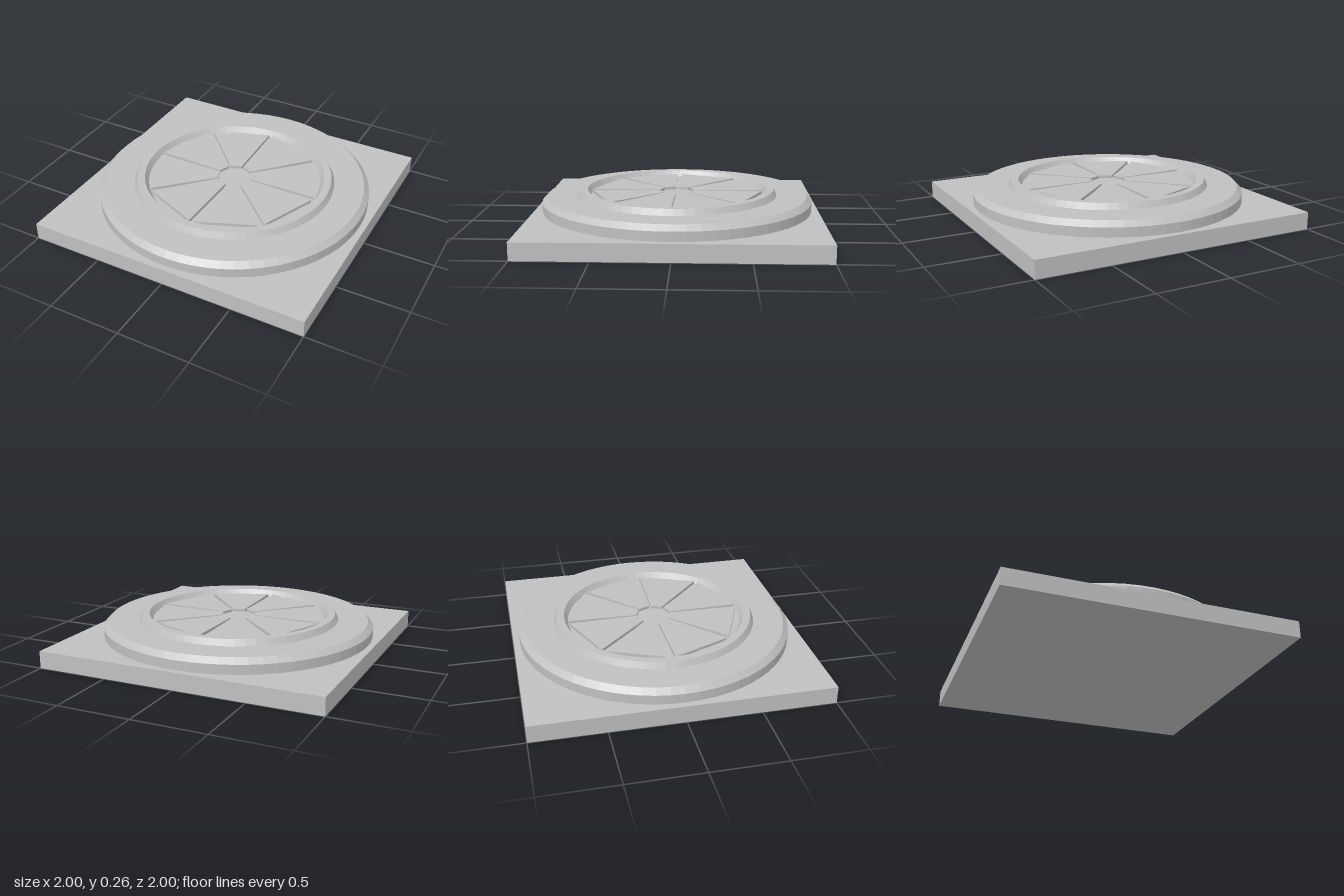
import * as THREE from 'three';

export function createModel() {
  const model = new THREE.Group();
  const grey = new THREE.MeshStandardMaterial({ color: 0xc0c0c0, flatShading: true });
  grey.name = 'light grey';

  const add = (name, geometry, y = 0) => {
    const mesh = new THREE.Mesh(geometry, grey);
    mesh.name = name;
    mesh.position.y = y;
    model.add(mesh);
    return mesh;
  };
  const lathe = (points) =>
    new THREE.LatheGeometry(points.map(([r, y]) => new THREE.Vector2(r, y)), 64);

  // Square base slab
  add('base', new THREE.BoxGeometry(2, 0.12, 2), 0.06);

  // Round plate with a bevelled rim
  add('disc', lathe([[0.957, 0.12], [0.957, 0.185], [0.92, 0.222], [0, 0.222]]));

  // Raised collar, sloped on both sides
  add('collar', lathe([[0.71, 0.222], [0.688, 0.264], [0.636, 0.264], [0.61, 0.222]]));

  // Eight raised wedge panels separated by tapering grooves
  const wedge = new THREE.Shape();
  const corner = (r, angle) => new THREE.Vector2(r * Math.cos(angle), r * Math.sin(angle));
  const step = Math.PI / 4;
  const outerGap = 0.03;
  const innerGap = 0.05;
  wedge.setFromPoints([
    corner(0.122, innerGap),
    corner(0.605, outerGap),
    corner(0.605, step - outerGap),
    corner(0.122, step - innerGap),
  ]);
  const wedgeGeometry = new THREE.ExtrudeGeometry(wedge, { depth: 0.02, bevelEnabled: false });
  wedgeGeometry.rotateX(-Math.PI / 2);
  for (let i = 0; i < 8; i++) {
    add('wedgePanel', wedgeGeometry, 0.222).rotation.y = i * step;
  }

  return model;
}
